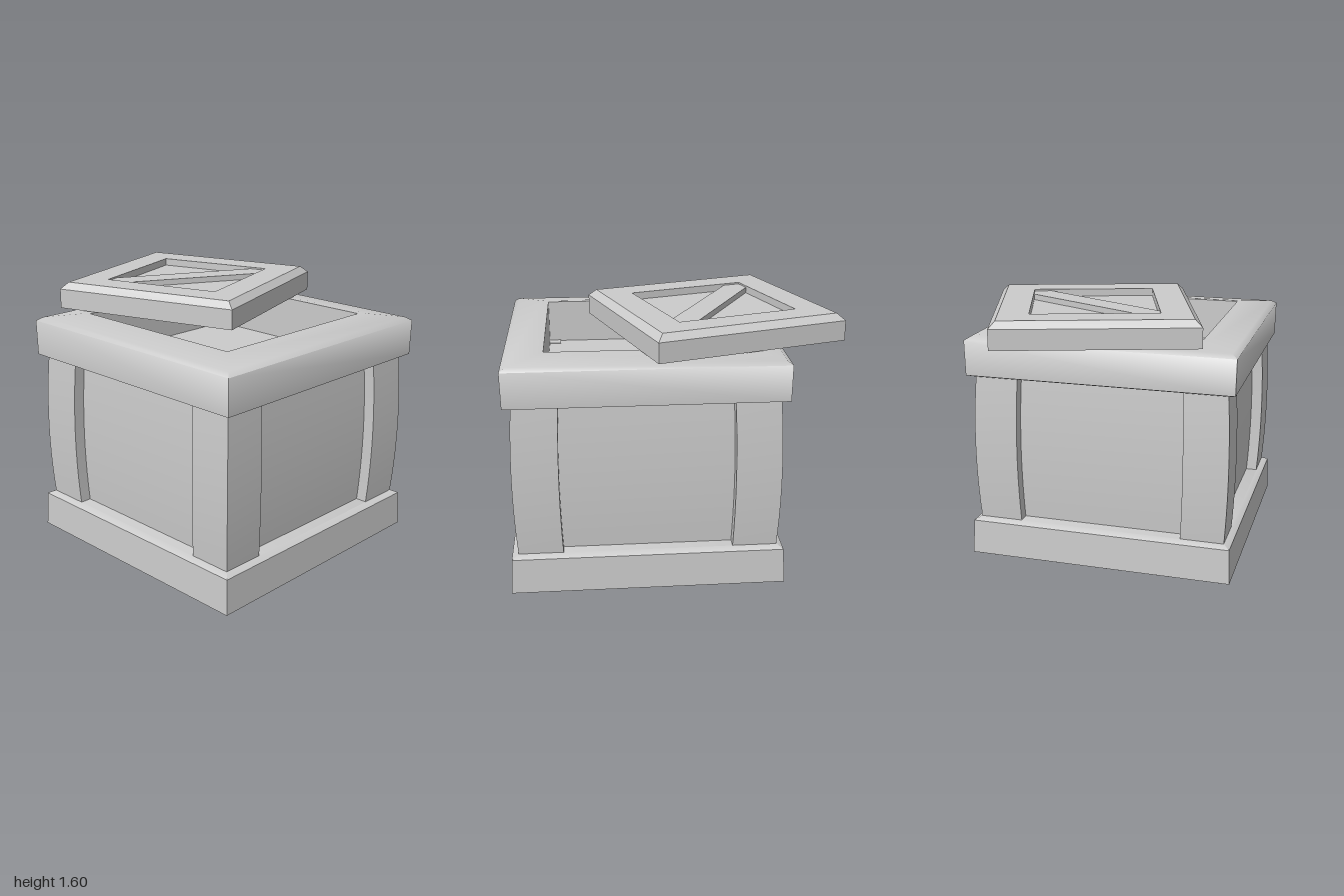
import * as THREE from 'three';
import { toCreasedNormals } from 'three/addons/utils/BufferGeometryUtils.js';

const material = new THREE.MeshStandardMaterial({ color: 0xcccccc });

function add(parent, name, geometry, crease = 0.5) {
  const mesh = new THREE.Mesh(toCreasedNormals(geometry, crease), material);
  mesh.name = name;
  parent.add(mesh);
  return mesh;
}

// Square solid swept from a profile of [half width, height] points
function squareLathe(profile) {
  const points = profile.map(([half, y]) => new THREE.Vector2(half * Math.SQRT2, y));
  return new THREE.LatheGeometry(points, 4, Math.PI / 4);
}

// Upright box whose plan swells slightly at mid height
function bowedBox(width, depth, y0, y1, x = 0, z = 0) {
  const geometry = new THREE.BoxGeometry(width, y1 - y0, depth, 1, 10, 1);
  geometry.translate(x, (y0 + y1) / 2, z);
  const p = geometry.attributes.position;
  for (let i = 0; i < p.count; i++) {
    const t = (2 * p.getY(i) - y0 - y1) / (y1 - y0);
    const s = 1 + 0.022 * (1 - t * t);
    p.setX(i, p.getX(i) * s);
    p.setZ(i, p.getZ(i) * s);
  }
  return geometry;
}

function createCrate() {
  const crate = new THREE.Group();
  crate.name = 'crate';
  crate.position.set(-0.028, 0, 0.182);

  // Plinth with bevelled edges
  add(crate, 'base', squareLathe([
    [0, 0], [0.78, 0], [0.818, 0.02], [0.809, 0.235], [0.772, 0.255], [0, 0.255],
  ]));

  // Recessed panels on all four sides; the top is the floor of the opening
  add(crate, 'sidePanels', bowedBox(1.4, 1.4, 0.25, 1.165));

  // Corner posts
  for (const sx of [-1, 1]) {
    for (const sz of [-1, 1]) {
      add(crate, 'cornerPost', bowedBox(0.265, 0.265, 0.25, 1.17, sx * 0.637, sz * 0.637));
    }
  }

  // Rounded rim around the opening
  add(crate, 'rim', squareLathe([
    [0.58, 1.165], [0.773, 1.165], [0.815, 1.18], [0.818, 1.395],
    [0.785, 1.416], [0.62, 1.437], [0.58, 1.437], [0.58, 1.165],
  ]), 1.15);
  return crate;
}

function createLid() {
  const lid = new THREE.Group();
  lid.name = 'lid';
  lid.position.set(0.095, 1.44, -0.255);
  lid.rotation.y = 0.314;

  // Bevelled frame with a sunken centre
  const h = 0.375;
  add(lid, 'lidFrame', squareLathe([
    [0, 0], [0.592, 0], [0.592, 0.12], [0.552, 0.16], [h, 0.16], [h, 0.115], [0, 0.115],
  ]));

  // Diagonal brace fitted into two corners of the recess
  const c = h - 0.108;
  const outline = [[-h, h], [-h, c], [c, -h], [h, -h], [h, -c], [-c, h]];
  const shape = new THREE.Shape(outline.map(([x, y]) => new THREE.Vector2(x, y)));
  const brace = new THREE.ExtrudeGeometry(shape, { depth: 0.045, bevelEnabled: false });
  brace.rotateX(-Math.PI / 2).translate(0, 0.105, 0);
  add(lid, 'lidBrace', brace);
  return lid;
}

export function createModel() {
  const model = new THREE.Group();
  model.name = 'openCrate';
  model.add(createCrate(), createLid());
  return model;
}
